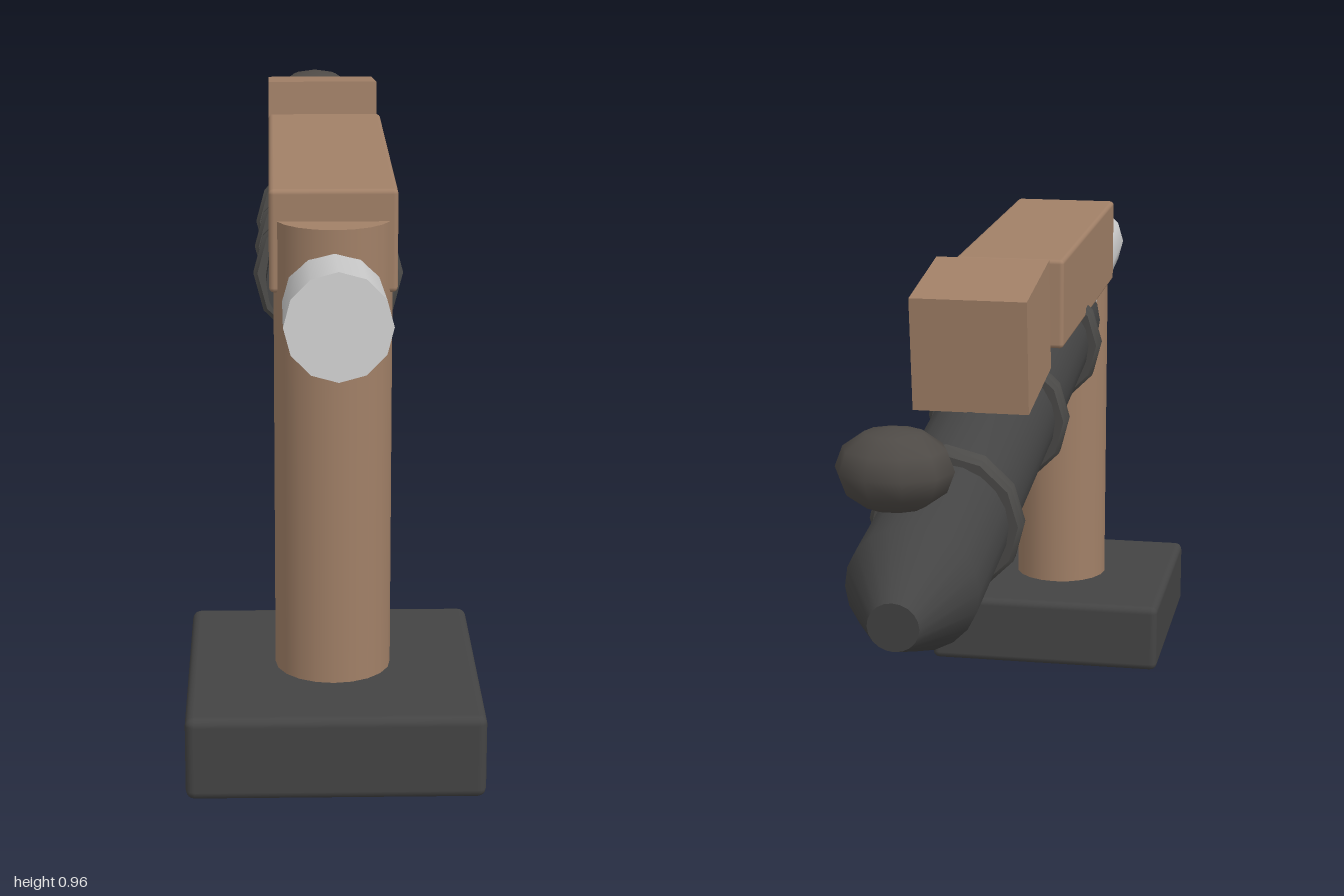
import * as THREE from 'three';
import { RoundedBoxGeometry } from 'three/addons/geometries/RoundedBoxGeometry.js';
import { toCreasedNormals } from 'three/addons/utils/BufferGeometryUtils.js';

const TILT = 0.12;      // downward slope of the tube towards the back
const AXIS_Y = 0.667;   // height of the tube axis at z = 0

const mat = (color) => new THREE.MeshStandardMaterial({ color });
const brown = mat(0xa18067);
const dark = mat(0x444444);
const band = mat(0x4c4b49);
const stone = mat(0x4e4a46);
const grey = mat(0xcccccc);

function add(parent, name, geometry, material, x = 0, y = 0, z = 0) {
  const mesh = new THREE.Mesh(geometry, material);
  mesh.name = name;
  mesh.position.set(x, y, z);
  parent.add(mesh);
  return mesh;
}

// Turned shape from [radius, distance along axis] pairs, axis along z
function turned(points, sides) {
  const profile = points.map(([r, d]) => new THREE.Vector2(r, d));
  const geometry = new THREE.LatheGeometry(profile, sides);
  geometry.rotateX(Math.PI / 2);
  return toCreasedNormals(geometry, 0.6);
}

export function createModel() {
  const model = new THREE.Group();
  model.name = 'mountedTube';

  // Stand
  add(model, 'base', new RoundedBoxGeometry(0.468, 0.136, 0.468, 2, 0.014), dark, 0, 0.068, 0.661);
  add(model, 'post', new THREE.CylinderGeometry(0.093, 0.093, 0.755, 20), brown, 0, 0.4975, 0.661);

  // Top housing over the post
  add(model, 'housing', new RoundedBoxGeometry(0.2, 0.164, 0.666, 2, 0.008), brown, 0, 0.843, 0.36);

  // Tilted assembly: everything inside lies along its z axis
  const tube = new THREE.Group();
  tube.name = 'tubeAssembly';
  tube.position.y = AXIS_Y;
  tube.rotation.x = -TILT;
  model.add(tube);

  const rod = new THREE.CylinderGeometry(0.08, 0.08, 0.7, 12);
  rod.rotateX(Math.PI / 2);
  add(tube, 'rod', rod, grey, 0, 0, 0.652);

  // Barrel with a tapered back end
  add(tube, 'barrel', turned([
    [0, -0.95], [0.04, -0.95], [0.105, -0.817], [0.105, 0.47], [0, 0.47],
  ], 20), dark);

  // Raised bands around the barrel
  for (const z of [0.333, -0.075, -0.545]) {
    add(tube, 'band', turned([
      [0.1, -0.019], [0.12, -0.019], [0.127, -0.011],
      [0.127, 0.011], [0.12, 0.019], [0.1, 0.019],
    ], 12), band, 0, 0, z);
  }

  // Block sitting on top of the barrel
  const block = add(model, 'topBlock', new THREE.BoxGeometry(0.2, 0.199, 0.232), brown, 0, 0.843, -0.238);
  block.rotation.x = -TILT;

  // Flattened ball floating behind the tapered end
  const ball = add(model, 'ball', new THREE.SphereGeometry(1, 10, 6), stone, 0, 0.79, -0.918);
  ball.scale.set(0.09, 0.064, 0.079);

  return model;
}
